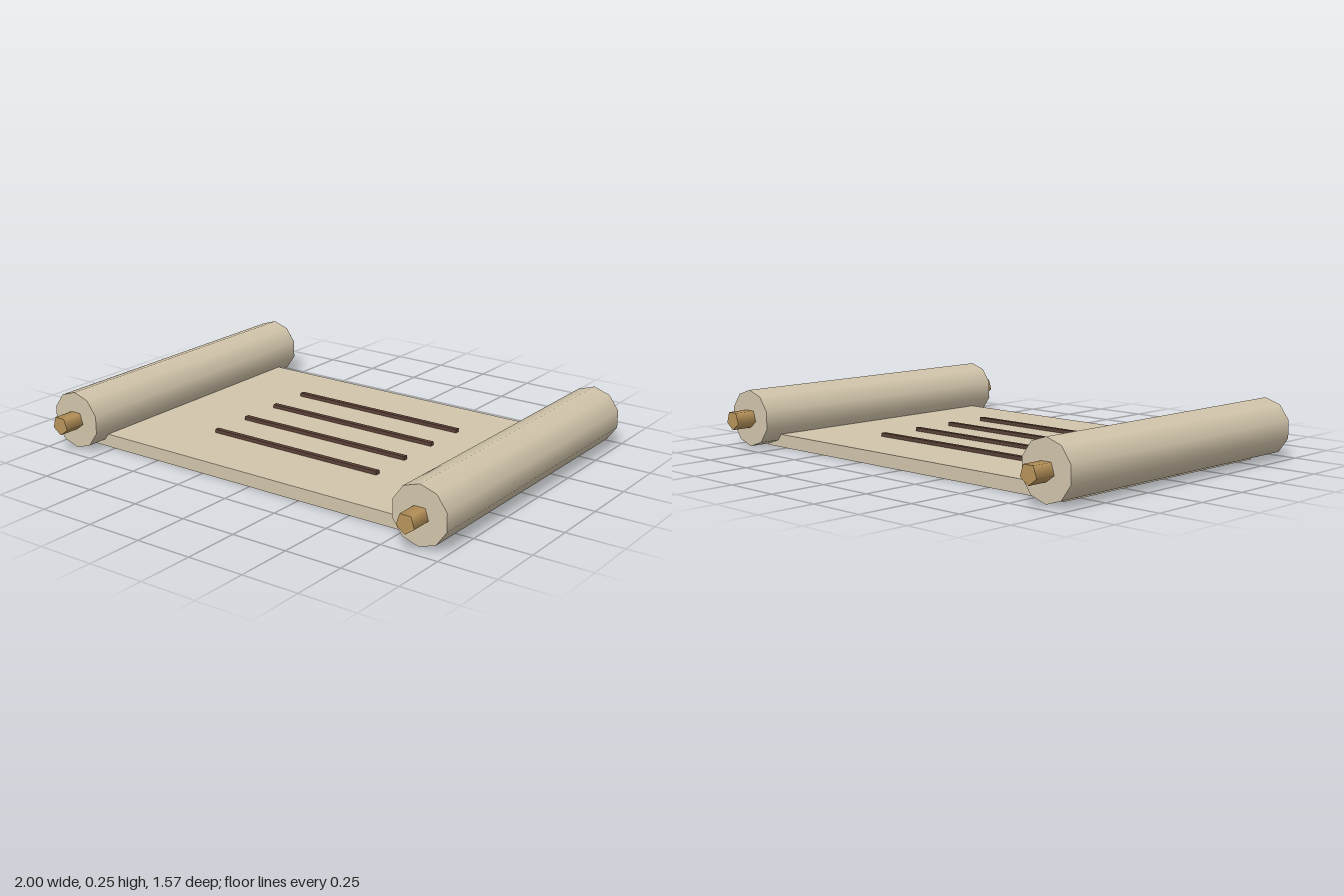
import * as THREE from 'three';

export function createModel() {
  const group = new THREE.Group();
  const material = (name, color) => {
    const m = new THREE.MeshStandardMaterial({ color });
    m.name = name;
    return m;
  };
  const paper = material('parchment', 0xd2c5ab);
  const wood = material('wood', 0xb8935a);
  const ink = material('ink', 0x5a4036);

  const add = (name, geometry, mat, x, y, z) => {
    const mesh = new THREE.Mesh(geometry, mat);
    mesh.name = name;
    mesh.position.set(x, y, z);
    group.add(mesh);
  };
  // Cylinder lying along z, with a corner pointing straight down
  const roller = (radius, length, sides) =>
    new THREE.CylinderGeometry(radius, radius, length, sides).rotateX(Math.PI / 2);

  // Open sheet
  add('sheet', new THREE.BoxGeometry(1.762, 0.057, 1.195), paper, 0, 0.0285, 0);

  // Rolled ends, each on a rod that sticks out at front and back
  for (const [side, x] of [['left', 0.881], ['right', -0.881]]) {
    add(side + 'Roll', roller(0.125, 1.384, 10), paper, x, 0.13, 0);
    add(side + 'Rod', roller(0.0425, 1.572, 5), wood, x, 0.13, 0);
  }

  // Lines of writing
  for (let i = 0; i < 4; i++) {
    add('writingLine' + (i + 1), new THREE.BoxGeometry(0.85, 0.016, 0.022), ink,
      0, 0.065, -0.314 + i * 0.2035);
  }
  return group;
}
